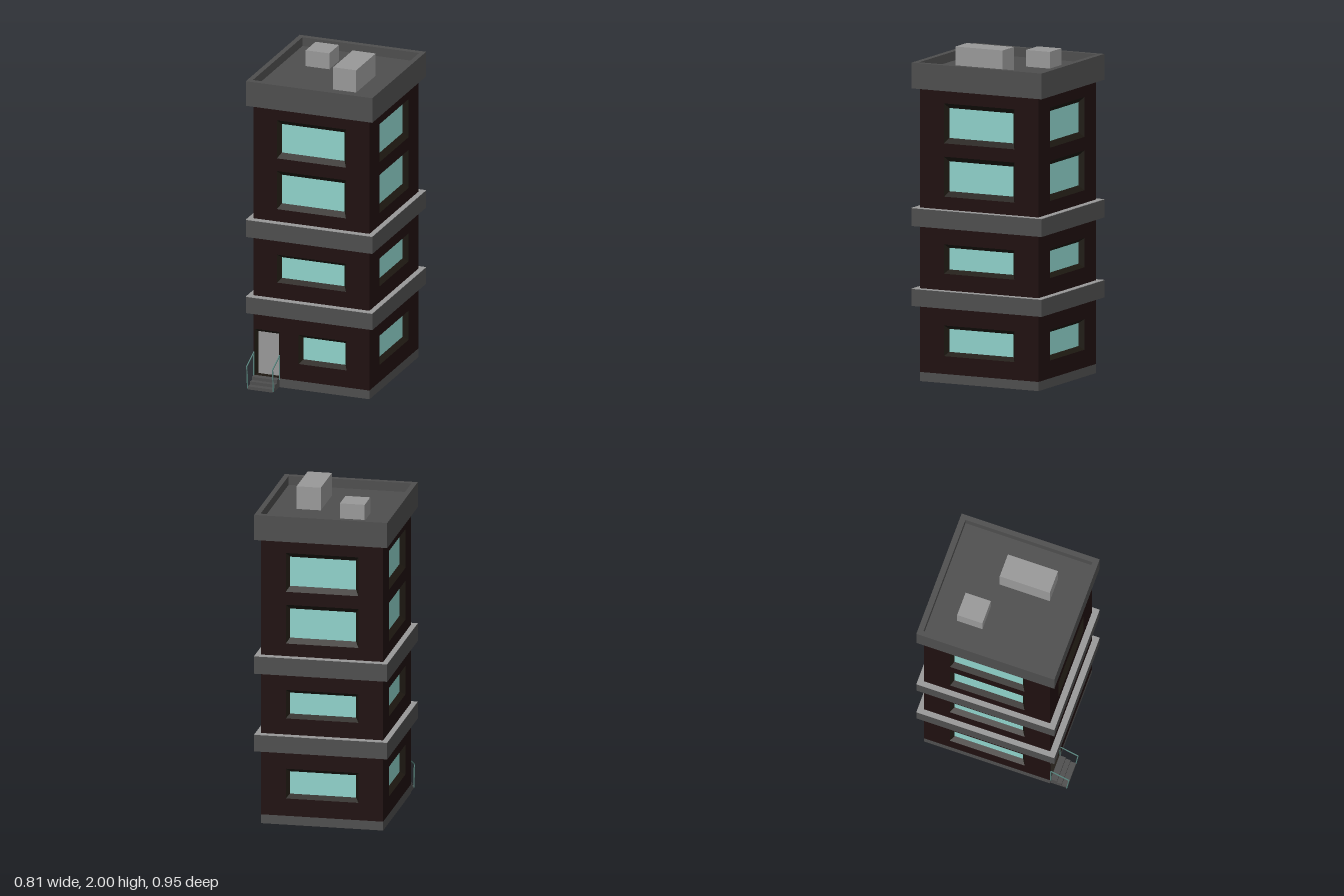
import * as THREE from 'three';

const mat = (color, side = THREE.FrontSide) => new THREE.MeshStandardMaterial({ color, side, flatShading: true });
const brick = mat(0x1f0f0f);
const frame = mat(0x1d1811);
const concrete = mat(0x4e4e4e);
const light = mat(0x999999);
const glass = mat(0x8fd2ca);
const metal = mat(0x56807a);

const HX = 0.37, HZ = 0.396, CZ = -0.041;   // half width, half depth, centre of the tower in z
const BX = 0.403, BZ = 0.434;               // half sizes of the overhanging bands
const BASE = 0.055, TOP = 1.8, RECESS = 0.03;

function add(parent, name, geometry, material) {
  const mesh = new THREE.Mesh(geometry, material);
  mesh.name = name;
  parent.add(mesh);
  return mesh;
}

// Box given by its limits on each axis
function block(parent, name, [x0, x1], [y0, y1], [z0, z1], material) {
  const mesh = add(parent, name, new THREE.BoxGeometry(x1 - x0, y1 - y0, z1 - z0), material);
  mesh.position.set((x0 + x1) / 2, (y0 + y1) / 2, (z0 + z1) / 2);
  return mesh;
}

const corners = ([x0, x1, y0, y1]) => [[x0, y0], [x1, y0], [x1, y1], [x0, y1]];
const outline = (rect, Type = THREE.Shape) => new Type(corners(rect).map(([x, y]) => new THREE.Vector2(x, y)));

// Four sloping sides from the wall opening back to the pane
function reveal(outer, inner) {
  const a = corners(outer), b = corners(inner), pos = [];
  for (let i = 0; i < 4; i++) {
    const j = (i + 1) % 4;
    const [p, q] = [[...a[i], 0], [...a[j], 0]];
    const [r, s] = [[...b[j], -RECESS], [...b[i], -RECESS]];
    pos.push(...p, ...q, ...r, ...p, ...r, ...s);
  }
  const g = new THREE.BufferGeometry();
  g.setAttribute('position', new THREE.Float32BufferAttribute(pos, 3));
  g.computeVertexNormals();
  return g;
}

// One wall, facing local +z, with recessed windows and an optional door
function facade(name, half, openings) {
  const group = new THREE.Group();
  group.name = name;
  const shape = outline([-half, half, BASE, TOP]);
  for (const { kind, pane, hole, material } of openings) {
    shape.holes.push(outline(hole, THREE.Path));
    add(group, kind + 'Frame', reveal(hole, pane), frame);
    const [x0, x1, y0, y1] = pane;
    add(group, kind + 'Pane', new THREE.PlaneGeometry(x1 - x0, y1 - y0), material)
      .position.set((x0 + x1) / 2, (y0 + y1) / 2, -RECESS);
  }
  add(group, 'wall', new THREE.ShapeGeometry(shape), brick);
  return group;
}

function windowAt(x0, x1, y0, y1, m) {
  return { kind: 'window', pane: [x0, x1, y0, y1], hole: [x0 - 0.02, x1 + 0.02, y0 - m, y1 + m], material: glass };
}

const upperWindows = (w) => [
  windowAt(-w, w, 1.47, 1.65, 0.03),
  windowAt(-w, w, 1.15, 1.33, 0.03),
  windowAt(-w, w, 0.68, 0.81, 0.023),
];
const groundWindow = (x0, x1) => windowAt(x0, x1, 0.185, 0.323, 0.023);

export function createModel() {
  const model = new THREE.Group();
  model.name = 'apartmentTower';

  // Walls
  const door = {
    kind: 'door', pane: [-0.35, -0.22, 0.06, 0.325],
    hole: [-0.364, -0.205, BASE + 0.002, 0.347], material: light,
  };
  const front = facade('frontWall', HX, [...upperWindows(0.2), groundWindow(-0.062, 0.205), door]);
  front.position.set(0, 0, CZ + HZ);
  const back = facade('backWall', HX, [...upperWindows(0.2), groundWindow(-0.2, 0.2)]);
  back.position.set(0, 0, CZ - HZ);
  back.rotation.y = Math.PI;
  model.add(front, back);
  for (const s of [1, -1]) {
    const side = facade(s > 0 ? 'leftWall' : 'rightWall', HZ, [...upperWindows(0.215), groundWindow(-0.215, 0.215)]);
    side.position.set(s * HX, 0, CZ);
    side.rotation.y = s * Math.PI / 2;
    model.add(side);
  }

  // Plinth and the two floor bands, each with a pale top
  const bandX = [-BX, BX], bandZ = [CZ - BZ, CZ + BZ];
  block(model, 'plinth', [-HX, HX], [0, BASE], [CZ - HZ, CZ + HZ], concrete);
  for (const [y0, y1] of [[0.453, 0.558], [0.933, 1.043]]) {
    block(model, 'floorBand', bandX, [y0, y1 - 0.003], bandZ, concrete);
    block(model, 'floorBandTop', bandX, [y1 - 0.003, y1], bandZ, light);
  }

  // Roof slab with a raised parapet
  const ring = outline([-BX, BX, -BZ, BZ]);
  ring.holes.push(outline([-0.372, 0.372, -0.399, 0.399], THREE.Path));
  const parapet = add(model, 'parapet', new THREE.ExtrudeGeometry(ring, { depth: 0.155, bevelEnabled: false }), concrete);
  parapet.rotation.x = -Math.PI / 2;
  parapet.position.set(0, 1.76, CZ);
  block(model, 'roofFloor', [-0.372, 0.372], [1.76, 1.86], [CZ - 0.399, CZ + 0.399], concrete);

  // Rooftop units
  block(model, 'smallRoofUnit', [-0.225, -0.075], [1.86, 1.96], [-0.281, -0.122], light);
  block(model, 'largeRoofUnit', [0.075, 0.222], [1.86, 2], [-0.12, 0.195], light);

  // Entrance steps
  const wallZ = CZ + HZ;
  [0.46, 0.425, 0.395].forEach((z, i) => {
    block(model, 'step', [-0.364, -0.204], [i * 0.019, (i + 1) * 0.019], [wallZ, z], concrete);
  });

  // Handrails, bent from thin square bar
  const path = [[0.05, 0.358], [0.2, 0.358], [0.147, 0.471], [0.008, 0.458]];
  for (const x of [-0.366, -0.202]) {
    const rail = new THREE.Group();
    rail.name = 'handrail';
    for (let i = 0; i < path.length - 1; i++) {
      const a = new THREE.Vector3(x, ...path[i]), b = new THREE.Vector3(x, ...path[i + 1]);
      const bar = add(rail, 'railBar', new THREE.BoxGeometry(0.006, 0.006, a.distanceTo(b) + 0.005), metal);
      bar.position.copy(a).lerp(b, 0.5);
      bar.lookAt(b);
    }
    model.add(rail);
  }
  return model;
}
